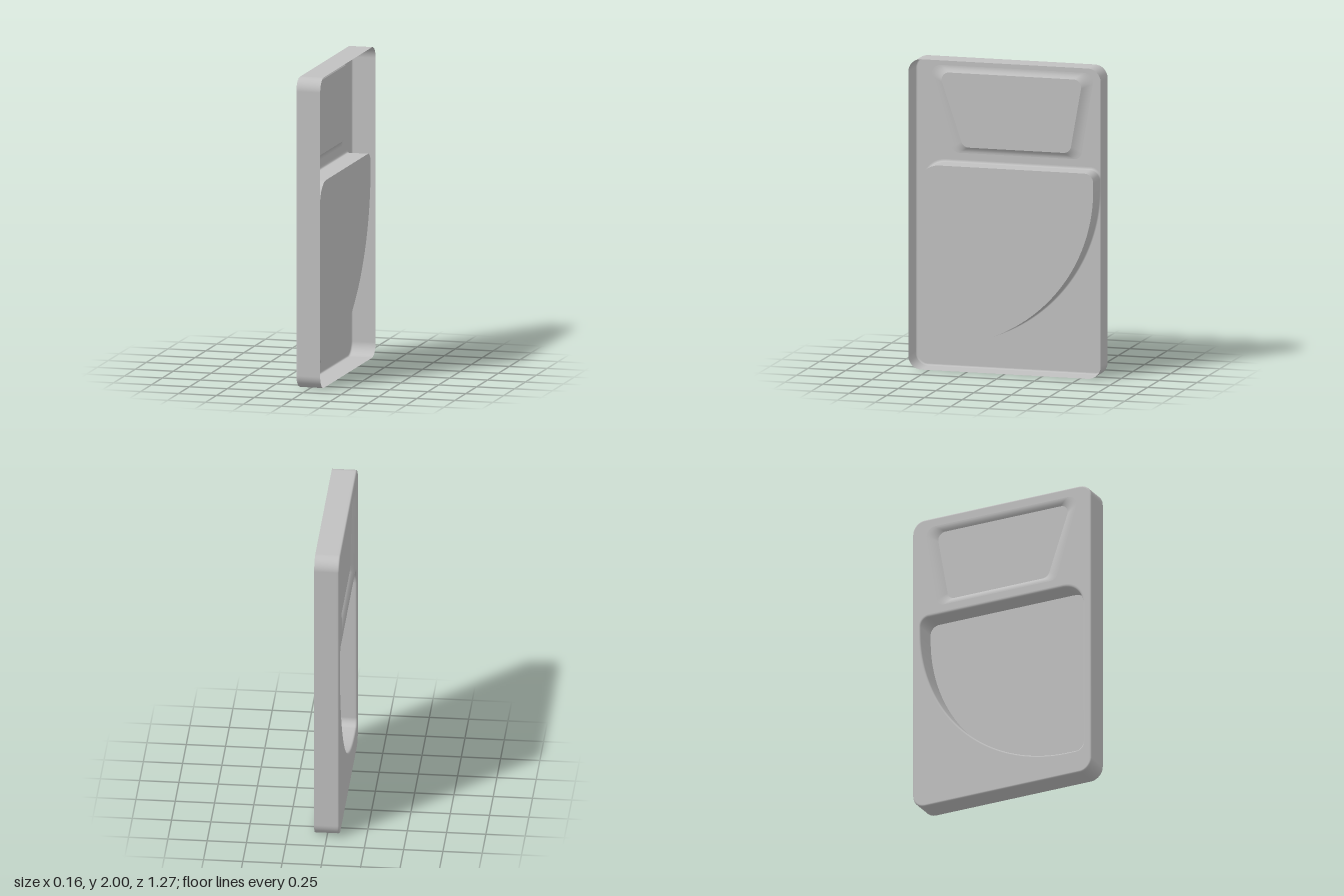
import * as THREE from 'three';

const FACE_X = -0.08; // plane of the closed face; depth grows towards +x

// Corner lists: [z, y, radius], counter-clockwise as seen from the closed face
const BODY_FACE = [[-0.626, 0.011, 0.074], [0.626, 0.011, 0.074], [0.626, 1.989, 0.074], [-0.626, 1.989, 0.074]];
const BODY_SIDE = [[-0.637, 0, 0.085], [0.637, 0, 0.085], [0.637, 2, 0.085], [-0.637, 2, 0.085]];
const POCKET_LIP = [[-0.593, 0.147, 1.066], [0.59, 0.147, 0.062], [0.59, 1.335, 0.15], [-0.593, 1.335, 0.072]];
const POCKET_FLOOR = [[-0.582, 0.158, 1.055], [0.578, 0.158, 0.05], [0.578, 1.318, 0.14], [-0.582, 1.318, 0.06]];
const WINDOW_LIP = [[-0.455, 1.38, 0.05], [0.385, 1.38, 0.05], [0.55, 1.94, 0.06], [-0.547, 1.94, 0.06]];
const WINDOW_FLOOR = [[-0.39, 1.42, 0.05], [0.317, 1.42, 0.05], [0.479, 1.897, 0.05], [-0.474, 1.897, 0.05]];

const POCKET_DEPTH = 0.142;
const WINDOW_DEPTH = 0.02;

// Polygon with circular corners, as a closed loop of points
function roundedLoop(corners) {
  const points = [];
  corners.forEach(([u, y, r], i) => {
    const p = new THREE.Vector2(u, y);
    const prev = corners[(i + corners.length - 1) % corners.length];
    const next = corners[(i + 1) % corners.length];
    const a = new THREE.Vector2(prev[0], prev[1]).sub(p).normalize();
    const b = new THREE.Vector2(next[0], next[1]).sub(p).normalize();
    const half = Math.acos(a.dot(b)) / 2;
    const centre = a.clone().add(b).normalize().multiplyScalar(r / Math.sin(half)).add(p);
    const start = a.multiplyScalar(r / Math.tan(half)).add(p).sub(centre);
    const sweep = Math.PI - 2 * half;
    const steps = r > 0.5 ? 48 : 12;
    for (let k = 0; k <= steps; k++) {
      points.push(start.clone().rotateAround(new THREE.Vector2(), (sweep * k) / steps).add(centre));
    }
  });
  return points;
}

// Blend between two corner lists
const blend = (from, to, t) => from.map((c, i) => c.map((v, k) => v + (to[i][k] - v) * t));

// Smooth band through a series of [corners, depth] cross-sections
function band(sections) {
  const loops = sections.map(([corners]) => roundedLoop(corners));
  const n = loops[0].length;
  const positions = [];
  const index = [];
  loops.forEach((loop, s) => loop.forEach((p) => positions.push(FACE_X + sections[s][1], p.y, p.x)));
  for (let s = 0; s < loops.length - 1; s++) {
    for (let i = 0; i < n; i++) {
      const a = s * n + i;
      const b = s * n + ((i + 1) % n);
      index.push(a, a + n, b, b, a + n, b + n);
    }
  }
  const geometry = new THREE.BufferGeometry();
  geometry.setAttribute('position', new THREE.Float32BufferAttribute(positions, 3));
  geometry.setIndex(index);
  geometry.computeVertexNormals();
  return geometry;
}

// Flat sheet at a depth, with optional openings
function sheet(corners, depth, openings = []) {
  const shape = new THREE.Shape(roundedLoop(corners));
  shape.holes = openings.map((o) => new THREE.Path(roundedLoop(o)));
  return new THREE.ShapeGeometry(shape).rotateY(-Math.PI / 2).translate(FACE_X + depth, 0, 0);
}

export function createModel() {
  const model = new THREE.Group();
  model.name = 'shallowTray';
  const grey = new THREE.MeshStandardMaterial({ color: 0xc0c0c0, side: THREE.DoubleSide });
  grey.name = 'light grey';
  const add = (name, geometry) => {
    const mesh = new THREE.Mesh(geometry, grey);
    mesh.name = name;
    model.add(mesh);
  };

  // Quarter-round steps: [progress, rise]
  const round = [0, 1, 2, 3, 4, 5, 6].map((k) => {
    const a = (k / 6) * (Math.PI / 2);
    return [Math.sin(a), 1 - Math.cos(a)];
  });

  // Closed face with its two openings
  add('facePlate', sheet(BODY_FACE, 0, [POCKET_LIP, WINDOW_LIP]));

  // Outer rim with a small rounded edge, open at +x
  const edge = round.map(([t, d]) => [blend(BODY_FACE, BODY_SIDE, t), d * 0.011]);
  add('outerRim', band([...edge, [BODY_SIDE, 0.02], [BODY_SIDE, 0.16]]));

  // Deep pocket with one large curved side
  const lip = round.map(([t, d]) => [blend(POCKET_LIP, POCKET_FLOOR, t), d * 0.012]);
  add('pocketWall', band([...lip, [POCKET_FLOOR, 0.02], [POCKET_FLOOR, POCKET_DEPTH]].reverse()));
  add('pocketFloor', sheet(POCKET_FLOOR, POCKET_DEPTH));

  // Shallow tapered recess whose sides steepen towards the floor
  const slope = [0, 0.2, 0.4, 0.6, 0.8, 1].map((t) => [blend(WINDOW_LIP, WINDOW_FLOOR, t), WINDOW_DEPTH * t * t]);
  add('recessSlope', band(slope.reverse()));
  add('recessFloor', sheet(WINDOW_FLOOR, WINDOW_DEPTH));

  return model;
}
